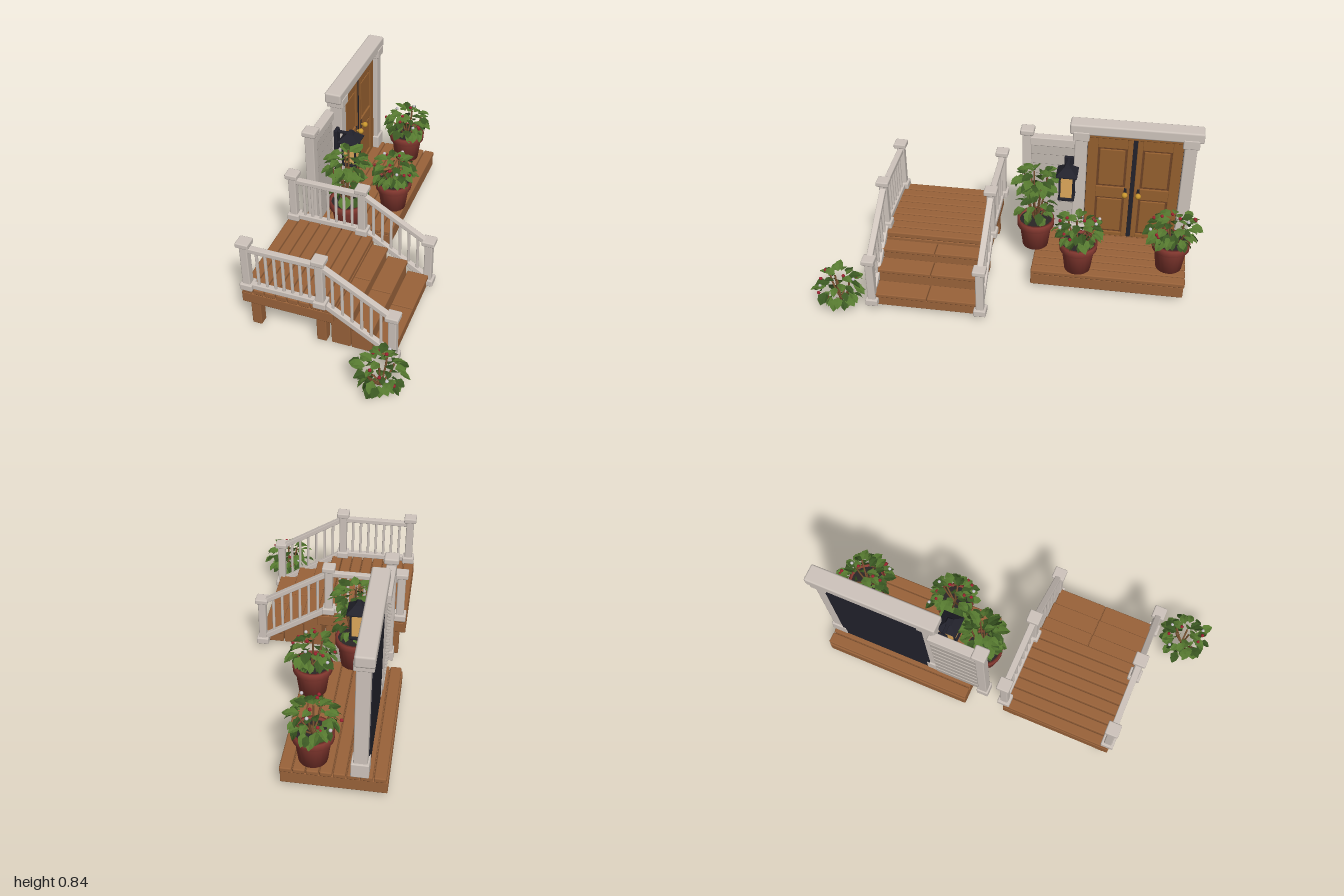
import * as THREE from 'three';
import { RoundedBoxGeometry } from 'three/addons/geometries/RoundedBoxGeometry.js';
import { mergeGeometries } from 'three/addons/utils/BufferGeometryUtils.js';

const mat = (color, opts = {}) => new THREE.MeshStandardMaterial({ color, ...opts });
const M = {
  wood: mat(0x9a633a), door: mat(0x96602f), darkWood: mat(0x6f4326), white: mat(0xcfc5bd), siding: mat(0xbdb4ac),
  black: mat(0x22222c), glass: mat(0xe0aa5c), gold: mat(0xc9962e), pot: mat(0x8c3c33), soil: mat(0x2a2626),
  stem: mat(0x7a5230), red: mat(0x9c2230), pale: mat(0xc9c4cc),
  leaf: mat(0x55782f, { side: THREE.DoubleSide, flatShading: true }),
  leafDark: mat(0x3a5722, { side: THREE.DoubleSide, flatShading: true }),
};

function add(parent, name, geo, material, x = 0, y = 0, z = 0) {
  const m = new THREE.Mesh(geo, material);
  m.name = name;
  m.position.set(x, y, z);
  parent.add(m);
  return m;
}

// Softly bevelled box given by its extents on each axis
function box(parent, name, material, x0, x1, y0, y1, z0, z1, r = 0.005) {
  const w = x1 - x0, h = y1 - y0, d = z1 - z0;
  const geo = new RoundedBoxGeometry(w, h, d, 1, Math.min(r, w * 0.3, h * 0.3, d * 0.3));
  return add(parent, name, geo, material, (x0 + x1) / 2, (y0 + y1) / 2, (z0 + z1) / 2);
}

function group(parent, name) {
  const g = new THREE.Group();
  g.name = name;
  parent.add(g);
  return g;
}

function seeded(seed) {
  return () => ((seed = (seed * 16807) % 2147483647) / 2147483647);
}

// Planks running along z, laid side by side in x
function planks(parent, x0, x1, y0, y1, z0, z1, n) {
  const w = (x1 - x0) / n;
  for (let i = 0; i < n; i++)
    box(parent, 'plank', M.wood, x0 + i * w + 0.002, x0 + (i + 1) * w - 0.002, y0, y1, z0, z1, 0.007);
}

// Square post with foot and cap
function post(parent, x, z, y0, y1) {
  const g = group(parent, 'railPost');
  const block = (name, r, a, b) => box(g, name, M.white, x - r, x + r, a, b, z - r, z + r, 0.006);
  block('shaft', 0.021, y0, y1 - 0.01);
  block('foot', 0.033, y0, y0 + 0.038);
  block('cap', 0.034, y1 - 0.028, y1);
}

// Straight bar between two points in a plane of constant z
function bar(parent, name, xa, ya, xb, yb, z, h, d) {
  const len = Math.hypot(xb - xa, yb - ya);
  const m = add(parent, name, new RoundedBoxGeometry(len, h, d, 1, 0.004), M.white, (xa + xb) / 2, (ya + yb) / 2, z);
  m.rotation.z = Math.atan2(yb - ya, xb - xa);
}

// Two rails with vertical balusters, level or sloping
function railing(parent, xa, xb, lowA, lowB, topA, topB, z, n) {
  bar(parent, 'handRail', xa, topA, xb, topB, z, 0.026, 0.032);
  bar(parent, 'bottomRail', xa, lowA, xb, lowB, z, 0.03, 0.03);
  for (let i = 1; i <= n; i++) {
    const t = i / (n + 1), x = xa + (xb - xa) * t;
    box(parent, 'baluster', M.white, x - 0.007, x + 0.007, lowA + (lowB - lowA) * t, topA + (topB - topA) * t, z - 0.007, z + 0.007);
  }
}

function buildPorch(root) {
  const g = group(root, 'raisedPorch');
  box(g, 'deckFrame', M.wood, -0.45, 0.03, 0.155, 0.218, 0.1, 0.69);
  planks(g, -0.45, 0.03, 0.216, 0.248, 0.1, 0.69, 8);
  for (const x of [-0.39, -0.04]) for (const z of [0.14, 0.645])
    box(g, 'leg', M.wood, x - 0.026, x + 0.026, 0, 0.16, z - 0.026, z + 0.026);
  // Steps with split treads
  [[0.01, 0.115, 0.2], [0.115, 0.225, 0.145], [0.225, 0.34, 0.075]].forEach(([a, b, top]) => {
    box(g, 'stepBlock', M.wood, a, b - 0.006, 0, top - 0.022, 0.125, 0.665, 0.003);
    for (const [z0, z1] of [[0.118, 0.384], [0.387, 0.672]])
      box(g, 'tread', M.wood, a, b, top - 0.022, top, z0, z1);
  });
  for (const z of [0.102, 0.676]) {
    const r = group(g, 'sideRailing');
    post(r, -0.415, z, 0.248, 0.545);
    post(r, -0.032, z, 0.248, 0.545);
    post(r, 0.333, z, 0.01, 0.305);
    railing(r, -0.4, -0.045, 0.268, 0.268, 0.497, 0.497, z, 7);
    railing(r, -0.02, 0.32, 0.265, 0.05, 0.492, 0.285, z, 6);
  }
}

function buildEntrance(root) {
  const g = group(root, 'entrance');
  box(g, 'platformFrame', M.wood, -0.46, 0.045, 0, 0.07, -0.935, -0.12);
  planks(g, -0.455, 0.05, 0.068, 0.095, -0.94, -0.12, 8);
  // Door surround
  for (const z of [-0.335, -0.905]) {
    const c = group(g, 'doorColumn');
    box(c, 'shaft', M.white, -0.363, -0.297, 0.095, 0.73, z - 0.033, z + 0.033);
    box(c, 'foot', M.white, -0.372, -0.286, 0.095, 0.175, z - 0.043, z + 0.043);
    box(c, 'capital', M.white, -0.378, -0.286, 0.718, 0.77, z - 0.043, z + 0.043);
  }
  box(g, 'lintel', M.white, -0.382, -0.29, 0.752, 0.812, -0.968, -0.273, 0.01);
  box(g, 'backPanel', M.black, -0.368, -0.345, 0.095, 0.755, -0.88, -0.36, 0.002);
  box(g, 'doorFrame', M.door, -0.346, -0.315, 0.728, 0.755, -0.875, -0.365);
  box(g, 'doorGap', M.black, -0.345, -0.322, 0.1, 0.73, -0.632, -0.608, 0.002);
  // Mirrored leaves: stiles, rails and raised panels
  for (const s of [-1, 1]) {
    const leaf = group(g, 'doorLeaf');
    leaf.position.z = -0.62;
    const part = (name, m, x, y0, y1, a, b) => box(leaf, name, m, -0.345, x, y0, y1, Math.min(s * a, s * b), Math.max(s * a, s * b), 0.004);
    part('leafCore', M.darkWood, -0.33, 0.1, 0.73, 0.011, 0.25);
    part('innerStile', M.door, -0.32, 0.1, 0.73, 0.011, 0.04);
    part('outerStile', M.door, -0.32, 0.1, 0.73, 0.195, 0.25);
    for (const [a, b] of [[0.1, 0.125], [0.355, 0.425], [0.668, 0.73]]) part('crossRail', M.door, -0.32, a, b, 0.038, 0.197);
    for (const [a, b] of [[0.135, 0.345], [0.435, 0.658]]) part('panel', M.door, -0.323, a, b, 0.05, 0.185);
    part('lockPlate', M.black, -0.317, 0.365, 0.425, 0.027, 0.043);
    add(leaf, 'knob', new THREE.SphereGeometry(0.016, 14, 10), M.gold, -0.295, 0.395, s * 0.036);
    add(leaf, 'knobStem', new THREE.CylinderGeometry(0.006, 0.006, 0.03, 8).rotateZ(Math.PI / 2), M.gold, -0.31, 0.395, s * 0.036);
  }
  // Clapboard side wall and its end post
  const w = group(g, 'sideWall');
  box(w, 'endShaft', M.white, -0.394, -0.342, 0.095, 0.71, -0.066, -0.018);
  box(w, 'endCap', M.white, -0.405, -0.33, 0.698, 0.73, -0.08, -0.006, 0.008);
  box(w, 'endFoot', M.white, -0.402, -0.334, 0.095, 0.15, -0.074, -0.01);
  box(w, 'topRail', M.white, -0.393, -0.342, 0.635, 0.685, -0.32, -0.06);
  for (let i = 0; i < 9; i++) {
    const slat = box(w, 'clapboard', M.siding, -0.378, -0.354, 0.097 + i * 0.06, 0.16 + i * 0.06, -0.32, -0.06, 0.003);
    slat.rotation.z = 0.08;
  }
}

function buildLantern(root) {
  const g = group(root, 'lantern');
  g.position.set(-0.235, 0, -0.275);
  box(g, 'wallPlate', M.black, -0.092, -0.072, 0.47, 0.6, -0.025, 0.025);
  box(g, 'arm', M.black, -0.09, 0.005, 0.58, 0.593, -0.009, 0.009);
  const pyramid = (name, r0, r1, h, y) => add(g, name, new THREE.CylinderGeometry(r0, r1, h, 4).rotateY(Math.PI / 4).toNonIndexed(), M.black, 0, y, 0).geometry.computeVertexNormals();
  pyramid('roof', 0.028, 0.08, 0.035, 0.571);
  pyramid('finial', 0.012, 0.028, 0.02, 0.598);
  box(g, 'roofRim', M.black, -0.055, 0.055, 0.545, 0.555, -0.055, 0.055);
  box(g, 'base', M.black, -0.044, 0.044, 0.395, 0.41, -0.044, 0.044);
  box(g, 'glass', M.glass, -0.033, 0.033, 0.408, 0.548, -0.033, 0.033);
  for (const x of [-0.036, 0.036]) for (const z of [-0.036, 0.036])
    box(g, 'cornerBar', M.black, x - 0.005, x + 0.005, 0.405, 0.55, z - 0.005, z + 0.005);
}

// Folded pointed leaf growing along +z
function leafGeometry() {
  const geo = new THREE.BufferGeometry();
  geo.setAttribute('position', new THREE.Float32BufferAttribute([
    0, 0, 0, -0.36, 0.1, 0.35, 0.36, 0.1, 0.35, 0, 0.02, 0.5, -0.28, 0.04, 0.72, 0.28, 0.04, 0.72, 0, -0.14, 1], 3));
  geo.setIndex([0, 3, 1, 0, 2, 3, 1, 3, 4, 2, 5, 3, 4, 3, 6, 3, 5, 6]);
  return geo;
}

// Stems plus scattered leaves; clusters are [y, radius, half height, leaf count]
function foliage(parent, baseY, clusters, seed, berries) {
  const rnd = seeded(seed), leaves = [[], []], stems = [], fruit = [[], []], o = new THREE.Object3D();
  for (const [cy, rad, hh, count] of clusters) {
    for (let i = 0; i < count; i++) {
      const up = 1 - 2 * (i + 0.5) / count, a = i * 2.4 + rnd() * 0.6;
      const ring = Math.sqrt(1 - up * up), k = 0.5 + rnd() * 0.25;
      const size = 0.05 + rnd() * 0.025;
      o.position.set(Math.sin(a) * ring * rad * k, cy + up * hh * 0.8, Math.cos(a) * ring * rad * k);
      o.rotation.set(0.35 - up * 0.55 + (rnd() - 0.5) * 0.8, a + (rnd() - 0.5), (rnd() - 0.5) * 0.9, 'YXZ');
      o.scale.setScalar(size);
      o.updateMatrix();
      leaves[i % 5 < 3 ? 0 : 1].push(leafGeometry().applyMatrix4(o.matrix));
      if (i % 9 === 0) stems.push(new THREE.TubeGeometry(new THREE.QuadraticBezierCurve3(
        new THREE.Vector3(0, baseY, 0), new THREE.Vector3(o.position.x * 0.8, (baseY + cy) / 2, o.position.z * 0.8), o.position.clone()), 6, 0.005, 5));
      if (berries && i % 4 === 1 && up > -0.3)
        fruit[i % 3 ? 0 : 1].push(new THREE.IcosahedronGeometry(0.009, 1).translate(o.position.x * 1.4, o.position.y + 0.016, o.position.z * 1.4));
    }
  }
  const put = (name, list, m) => list.length && add(parent, name, mergeGeometries(list), m);
  put('leaves', leaves[0], M.leaf);
  put('shadedLeaves', leaves[1], M.leafDark);
  put('stems', stems, M.stem);
  put('redBlossoms', fruit[0], M.red);
  put('paleBlossoms', fruit[1], M.pale);
}

function pottedPlant(root, x, z, clusters, seed, berries) {
  const g = group(root, 'pottedPlant');
  g.position.set(x, 0.096, z);
  const profile = [[0, 0], [0.07, 0], [0.087, 0.128], [0.1, 0.13], [0.102, 0.17], [0.09, 0.172], [0.085, 0.15]];
  const geo = new THREE.LatheGeometry(profile.map(([a, b]) => new THREE.Vector2(a, b)), 20);
  add(g, 'pot', geo, M.pot);
  add(g, 'soil', new THREE.CylinderGeometry(0.088, 0.086, 0.012, 20), M.soil, 0, 0.153, 0);
  foliage(g, 0.15, clusters, seed, berries);
}

export function createModel() {
  const root = new THREE.Group();
  root.name = 'porchWithEntrance';
  buildPorch(root);
  buildEntrance(root);
  buildLantern(root);
  pottedPlant(root, -0.2, -0.115, [[0.42, 0.115, 0.07, 60], [0.26, 0.1, 0.08, 32]], 11, false);
  pottedPlant(root, -0.02, -0.365, [[0.25, 0.13, 0.075, 64]], 23, true);
  pottedPlant(root, -0.1, -0.85, [[0.25, 0.145, 0.075, 64]], 37, true);
  // Bush growing from the ground beside the steps
  const bush = group(root, 'groundBush');
  bush.position.set(0.33, 0, 0.85);
  foliage(bush, 0.008, [[0.105, 0.135, 0.085, 58]], 51, true);
  return root;
}
